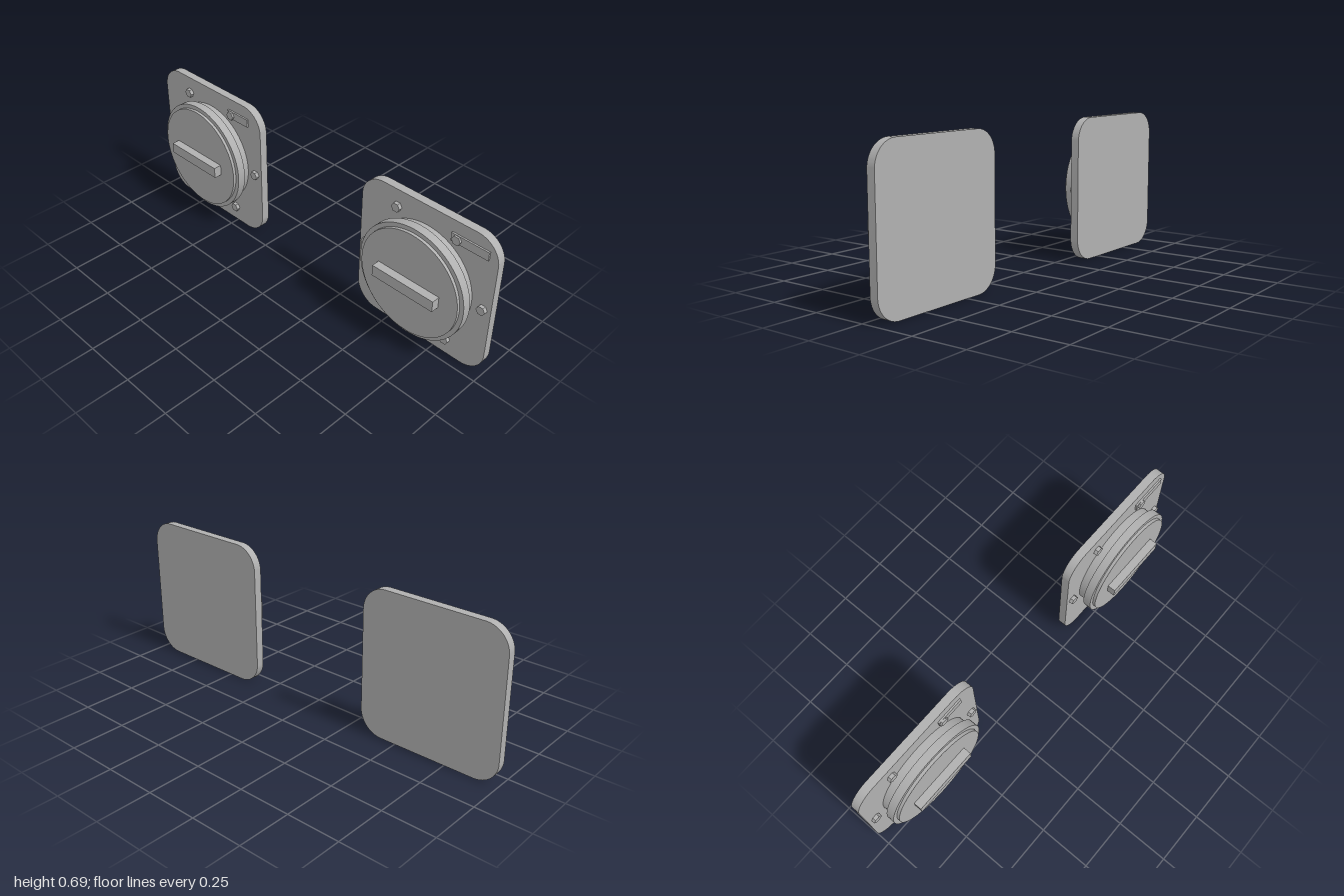
import * as THREE from 'three';
import { toCreasedNormals } from 'three/addons/utils/BufferGeometryUtils.js';

const SIZE = 0.685, MID = SIZE / 2;

export function createModel() {
  const grey = new THREE.MeshStandardMaterial({ color: 0xb0b0b0 });
  grey.name = 'plain grey';

  function add(parent, name, geometry, x = 0, y = 0, z = 0) {
    const mesh = new THREE.Mesh(geometry, grey);
    mesh.name = name;
    mesh.position.set(x, y, z);
    parent.add(mesh);
    return mesh;
  }

  // Disc or prism lying along z, between two depths
  function disc(radius, z0, z1, sides) {
    return new THREE.CylinderGeometry(radius, radius, z1 - z0, sides)
      .rotateX(Math.PI / 2).translate(0, 0, (z0 + z1) / 2);
  }

  // Rounded square back plate
  const h = MID, r = 0.11;
  const outline = new THREE.Shape();
  outline.absarc(h - r, h - r, r, 0, Math.PI / 2);
  outline.absarc(r - h, h - r, r, Math.PI / 2, Math.PI);
  outline.absarc(r - h, r - h, r, Math.PI, Math.PI * 1.5);
  outline.absarc(h - r, r - h, r, Math.PI * 1.5, Math.PI * 2);
  const plate = toCreasedNormals(new THREE.ExtrudeGeometry(outline, {
    depth: 0.039, bevelEnabled: false, curveSegments: 12,
  }), 0.6);

  // One bolted hatch; tab ends are measured from the hatch centre
  function hatch(name, x, tabStart, tabEnd) {
    const group = new THREE.Group();
    group.name = name;
    group.position.set(x, MID, 0);
    add(group, 'backPlate', plate, 0, 0, -0.085);
    add(group, 'capBody', disc(0.25, -0.047, 0.047, 64));
    add(group, 'capRim', disc(0.27, -0.006, 0.033, 64));
    add(group, 'handle', new THREE.BoxGeometry(0.316, 0.053, 0.042), 0, 0, 0.0645);

    // Six hexagonal bolts with corners pointing sideways
    for (let i = 0; i < 6; i++) {
      const a = i * Math.PI / 3;
      const bolt = disc(0.022, -0.05, -0.029, 6).rotateZ(Math.PI / 2);
      add(group, 'bolt', bolt, 0.304 * Math.cos(a), 0.304 * Math.sin(a), 0);
    }

    // Thin tab under the upper bolt
    add(group, 'tab', new THREE.BoxGeometry(tabEnd - tabStart, 0.04, 0.01),
      (tabStart + tabEnd) / 2, 0.265, -0.043);
    return group;
  }

  const model = new THREE.Group();
  model.name = 'hatchPair';
  model.add(hatch('rightHatch', -(1 - MID), 0.13, 0.263));
  model.add(hatch('leftHatch', 1 - MID, 0.122, 0.3));

  // Flat-sided bolts need crisp edges
  model.traverse((o) => {
    if (o.name === 'bolt') o.geometry = toCreasedNormals(o.geometry, 0.5);
  });
  return model;
}
